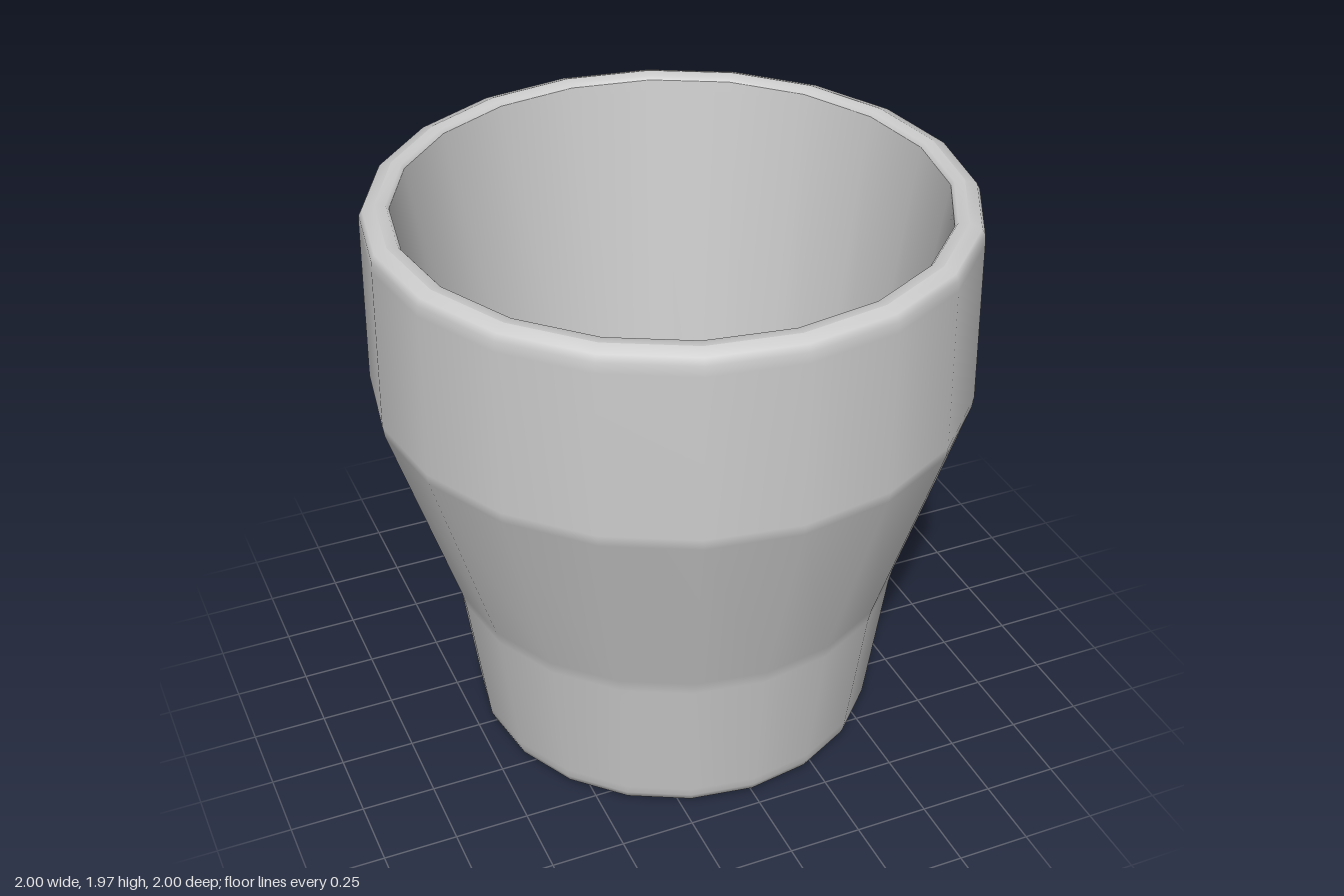
import * as THREE from 'three';

const SIDES = 20;

// A corner with a bevel length becomes two nearby points, a narrow smooth edge
function bevelProfile(corners) {
  const points = [];
  corners.forEach(([r, y, bevel], i) => {
    const p = new THREE.Vector2(r, y);
    if (!bevel) return points.push(p);
    for (const j of [i - 1, i + 1]) {
      const q = new THREE.Vector2(...corners[j].slice(0, 2));
      points.push(p.clone().add(q.sub(p).setLength(bevel)));
    }
  });
  return points;
}

function lathePart(name, corners, material) {
  const mesh = new THREE.Mesh(new THREE.LatheGeometry(bevelProfile(corners), SIDES), material);
  mesh.name = name;
  return mesh;
}

export function createModel() {
  const group = new THREE.Group();
  group.name = 'cup';
  const material = new THREE.MeshStandardMaterial({ color: 0xcccccc });

  // Stepped outside with its underside and rounded lip
  group.add(lathePart('outerWall', [
    [0, 0.005, 0],
    [0.65, 0.005, 0],
    [0.665, 0.006, 0],
    [0.69, 0.02, 0],
    [0.7, 0.045, 0],
    [0.704, 0.075, 0],
    [0.77, 0.58, 0.025],
    [1.0, 1.325, 0.02],
    [0.988, 1.9, 0],
    [0.986, 1.935, 0],
    [0.975, 1.957, 0],
    [0.935, 1.971, 0],
  ], material));

  // Flat top edge of the lip
  group.add(lathePart('rim', [
    [0.935, 1.971, 0],
    [0.9, 1.968, 0],
    [0.89, 1.955, 0],
  ], material));

  // Straight tapering inside down to the floor
  group.add(lathePart('innerWall', [
    [0.89, 1.955, 0],
    [0.885, 1.92, 0],
    [0.635, 0.15, 0],
    [0.628, 0.1, 0.02],
    [0.57, 0.1, 0],
    [0, 0.1, 0],
  ], material));

  return group;
}
